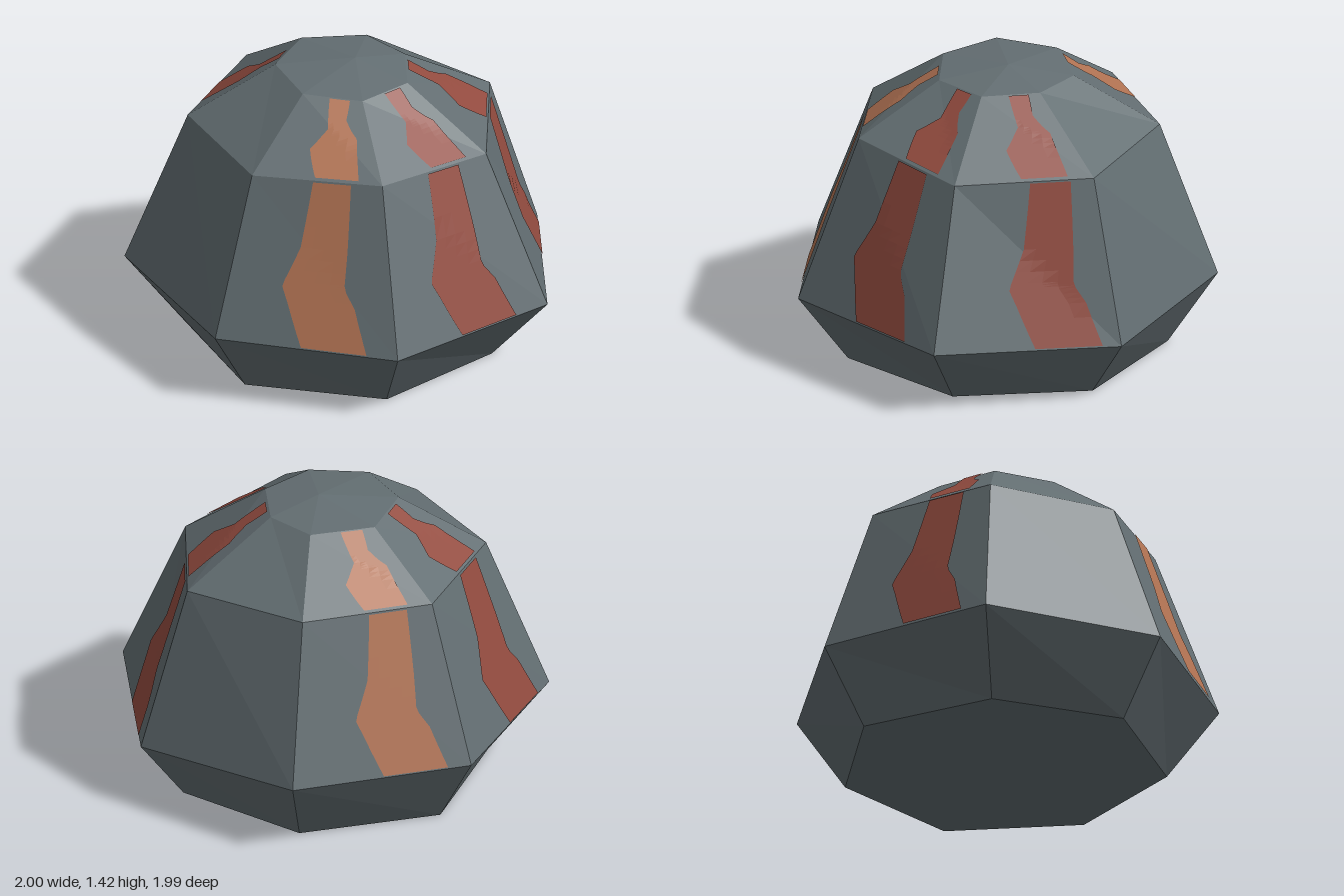
import * as THREE from 'three';

const SIDES = 7;
const LIFT = 0.006;

// Irregular seven-sided rings, from the ground up
const ring = (pts) => pts.map((p) => new THREE.Vector3(...p));
const base = ring([[0.71, 0, 0], [0.44, 0, 0.61], [-0.23, 0, 0.76], [-0.735, 0, 0.33],
  [-0.77, 0, -0.35], [-0.22, 0, -0.77], [0.44, 0, -0.61]]);
const waist = ring([[1, 0.335, 0], [0.59, 0.345, 0.81], [-0.28, 0.355, 0.99], [-1, 0.36, 0.45],
  [-0.97, 0.36, -0.45], [-0.28, 0.36, -1], [0.58, 0.315, -0.8]]);
const shoulder = ring([[0.68, 1.08, 0], [0.4, 1.13, 0.57], [-0.22, 1.11, 0.7], [-0.73, 1.125, 0.32],
  [-0.72, 1.12, -0.33], [-0.22, 1.12, -0.73], [0.42, 1.095, -0.61]]);
const crown = ring([[0.27, 1.37, 0], [0.15, 1.37, 0.25], [-0.13, 1.38, 0.32], [-0.36, 1.39, 0.13],
  [-0.36, 1.38, -0.17], [-0.1, 1.37, -0.34], [0.14, 1.37, -0.25]]);
const apex = new THREE.Vector3(-0.02, 1.42, -0.04);
const floorCentre = new THREE.Vector3(0, 0, 0);

// Streak outlines: height on the face, left edge, right edge
const lowerStreak = [[0.01, 0.47, 0.83], [0.27, 0.37, 0.77], [0.36, 0.33, 0.72],
  [0.4, 0.34, 0.71], [0.6, 0.42, 0.73], [0.99, 0.47, 0.76]];
const upperStreak = [[0.03, 0.48, 0.82], [0.36, 0.38, 0.83], [0.53, 0.47, 0.84],
  [0.61, 0.52, 0.79], [0.74, 0.5, 0.73], [0.98, 0.46, 0.79]];

function meshFrom(points, material, name) {
  const geometry = new THREE.BufferGeometry().setFromPoints(points);
  geometry.computeVertexNormals(); // unshared corners give flat facets
  const mesh = new THREE.Mesh(geometry, material);
  mesh.name = name;
  return mesh;
}

// Corners of one face: lower right, lower left, upper right, upper left
function corners(low, high, i) {
  const j = (i + 1) % SIDES;
  return [low[i], low[j], high[i], high[j]];
}

function band(low, high) {
  const out = [];
  for (let i = 0; i < SIDES; i++) {
    const [l0, l1, u0, u1] = corners(low, high, i);
    out.push(l1, l0, u1, l0, u0, u1);
  }
  return out;
}

// A thin streak that follows the two triangles of a face
function streak(low, high, i, outline, shift) {
  const [l0, l1, u0, u1] = corners(low, high, i);
  const planeA = new THREE.Plane().setFromCoplanarPoints(l1, l0, u1);
  const planeB = new THREE.Plane().setFromCoplanarPoints(l0, u0, u1);
  const pick = planeA.distanceToPoint(u0) < 0 ? Math.max : Math.min;
  const at = (u, v) => {
    const p = l1.clone().lerp(l0, u).lerp(u1.clone().lerp(u0, u), v);
    const d = pick(planeA.distanceToPoint(p), planeB.distanceToPoint(p));
    return p.addScaledVector(planeA.normal, LIFT - d);
  };
  const out = [];
  const steps = 3, cols = 4;
  const mix = THREE.MathUtils.lerp;
  for (let k = 0; k < outline.length - 1; k++) {
    for (let s = 0; s < steps; s++) {
      const row = (t) => outline[k].map((value, n) => mix(value, outline[k + 1][n], t));
      const a = row(s / steps), b = row((s + 1) / steps);
      const spot = (r, c) => at(mix(r[1], r[2], c / cols) + shift, r[0]);
      for (let c = 0; c < cols; c++) {
        const p = spot(a, c), q = spot(a, c + 1), r = spot(b, c + 1), t = spot(b, c);
        out.push(p, q, r, p, r, t);
      }
    }
  }
  return out;
}

export function createModel() {
  const stone = new THREE.MeshStandardMaterial({ color: 0x636e72 });
  const red = new THREE.MeshStandardMaterial({ color: 0x924b3f });
  const orange = new THREE.MeshStandardMaterial({ color: 0xb27353 });
  stone.name = 'slate';
  red.name = 'rust red';
  orange.name = 'burnt orange';

  const model = new THREE.Group();
  model.name = 'streakedBoulder';

  // Stone body
  const cap = [], floor = [];
  for (let i = 0; i < SIDES; i++) {
    const j = (i + 1) % SIDES;
    cap.push(crown[j], crown[i], apex);
    floor.push(base[i], base[j], floorCentre);
  }
  model.add(
    meshFrom(band(base, waist), stone, 'foot'),
    meshFrom(band(waist, shoulder), stone, 'walls'),
    meshFrom(band(shoulder, crown), stone, 'shoulders'),
    meshFrom(cap, stone, 'cap'),
    meshFrom(floor, stone, 'underside'),
  );

  // Coloured streaks: face, colour, sideways shift of the lower piece
  const streaks = [[0, red, -0.04], [1, orange, 0], [3, red, 0.02], [4, orange, 0.04], [6, red, 0.07]];
  for (const [face, material, shift] of streaks) {
    model.add(
      meshFrom(streak(waist, shoulder, face, lowerStreak, shift), material, 'lowerStreak'),
      meshFrom(streak(shoulder, crown, face, upperStreak, 0), material, 'upperStreak'),
    );
  }
  return model;
}
